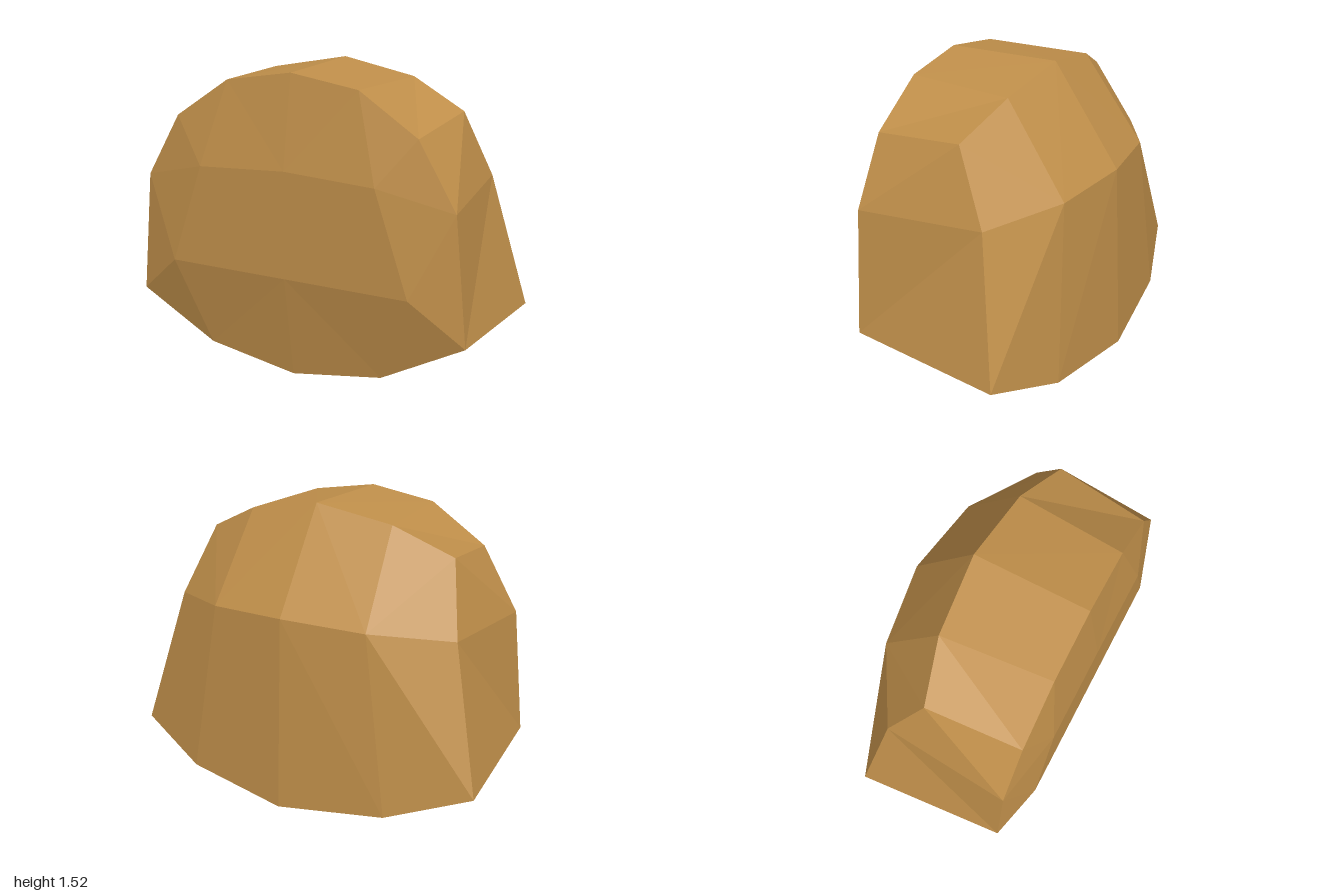
import * as THREE from 'three';

// Half cross-sections running from bottom centre, round the side, to top centre: [x, y, z]
const front = [[0, 0, 0], [0.475, 0.08, 0], [0.89, 0.31, 0], [0.825, 0.94, 0],
  [0.637, 1.26, 0], [0.345, 1.455, 0], [0, 1.51, 0]];
const back = [[0, 0.065, -0.97], [0.55, 0.13, -0.91], [0.95, 0.27, -0.78], [0.78, 0.97, -0.645],
  [0.68, 1.31, -0.472], [0.39, 1.447, -0.548], [0, 1.518, -0.58]];

// Bulge points inside the front and back caps: centre and side
const lowC = [0, 0.53, 0.085], lowS = [0.635, 0.53, 0.085];
const upC = [0, 1.06, 0.08], upS = [0.463, 1.035, 0.08];
const backC = [0, 1.03, -0.92], backS = [0.42, 1.01, -0.857];

// Turns half a shell of polygons into a whole one by mirroring across x
function mirroredShell(polygons) {
  const pos = [];
  const mirror = ([x, y, z]) => [-x, y, z];
  for (const p of polygons) {
    for (let i = 1; i < p.length - 1; i++) {
      pos.push(...p[0], ...p[i], ...p[i + 1]);
      pos.push(...mirror(p[0]), ...mirror(p[i + 1]), ...mirror(p[i]));
    }
  }
  const geometry = new THREE.BufferGeometry();
  geometry.setAttribute('position', new THREE.Float32BufferAttribute(pos, 3));
  geometry.computeVertexNormals();
  return geometry;
}

export function createModel() {
  const stone = new THREE.MeshStandardMaterial({ color: 0xc08f4a });
  stone.name = 'ochre stone';
  stone.flatShading = true;

  const f = front, b = back;
  const frontCap = [
    [f[0], f[1], lowC], [f[1], lowS, lowC], [f[1], f[2], lowS],
    [f[2], f[3], lowS], [f[3], upS, lowS], [lowC, lowS, upS, upC],
    [f[3], f[4], upS], [f[4], f[5], upS], [f[5], f[6], upC, upS],
  ];
  const backCap = [
    [b[1], b[0], backC, backS], [b[2], b[1], backS, b[3]],
    [b[4], b[3], backS], [b[5], b[4], backS], [b[6], b[5], backS, backC],
  ];
  // Band of facets joining the two rims
  const rim = [];
  for (let i = 0; i < 6; i++) rim.push([f[i], b[i], b[i + 1], f[i + 1]]);

  const rock = new THREE.Group();
  rock.name = 'rock';
  const parts = { frontFace: frontCap, backFace: backCap, sideBand: rim };
  for (const [name, polygons] of Object.entries(parts)) {
    const mesh = new THREE.Mesh(mirroredShell(polygons), stone);
    mesh.name = name;
    rock.add(mesh);
  }
  // Rock stands turned about the vertical
  rock.rotation.y = 0.424;
  rock.position.set(0.19, 0, 0.367);

  const model = new THREE.Group();
  model.name = 'boulder';
  model.add(rock);
  return model;
}
